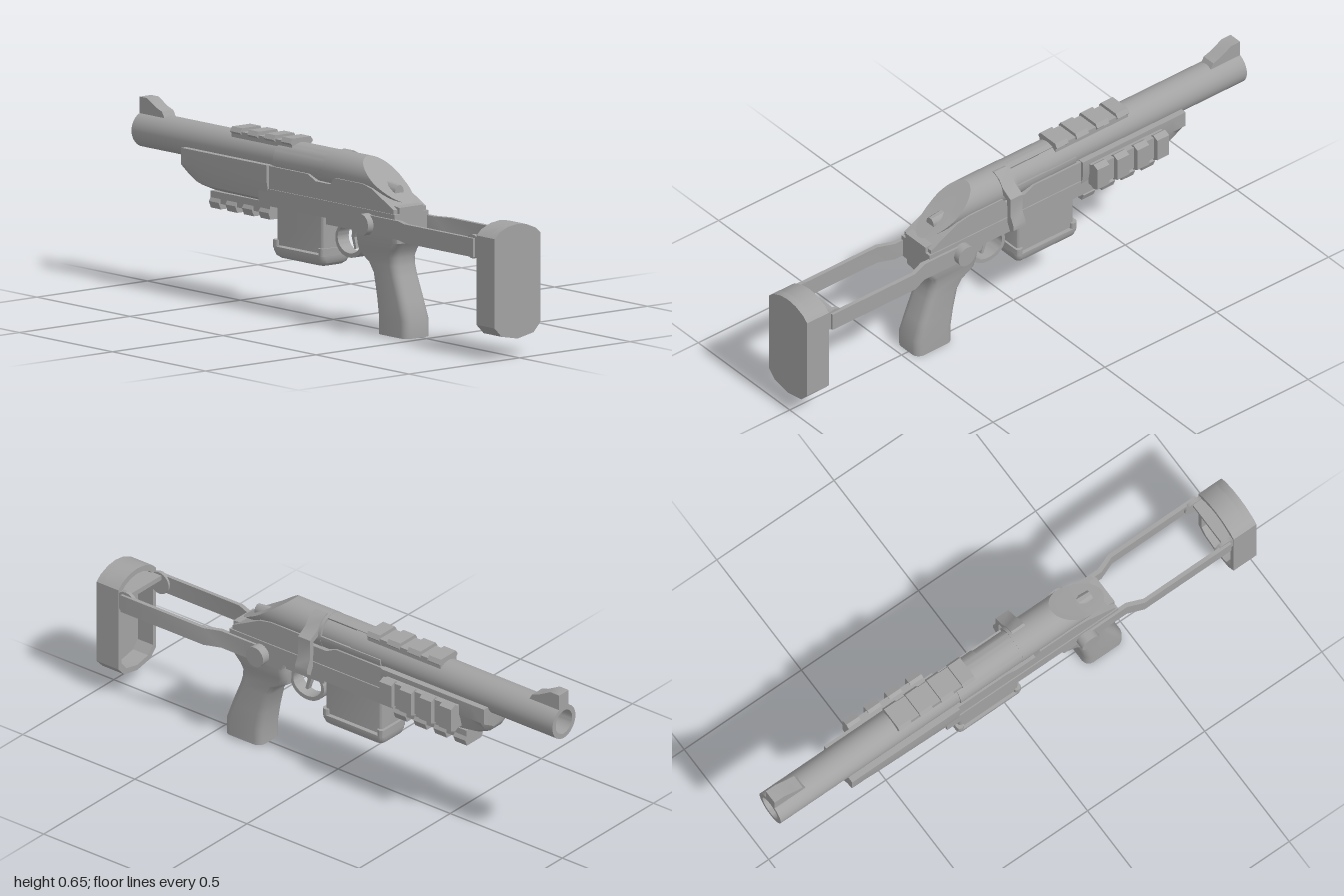
import * as THREE from 'three';
import { toCreasedNormals } from 'three/addons/utils/BufferGeometryUtils.js';

const AXIS_Y = 0.537; // barrel axis height

export function createModel() {
  const root = new THREE.Group();
  root.name = 'carbine';
  root.position.x = -0.009;
  const grey = new THREE.MeshStandardMaterial({ color: 0xa2a2a2 });
  grey.name = 'grey metal';

  const add = (name, geo, parent = root) => {
    const m = new THREE.Mesh(toCreasedNormals(geo, 0.6), grey);
    m.name = name;
    parent.add(m);
    return m;
  };
  const shapeOf = (pts) => new THREE.Shape(pts.map(([a, b]) => new THREE.Vector2(a, b)));
  const extrude = (shape, depth) =>
    new THREE.ExtrudeGeometry(shape, { depth, bevelEnabled: false, curveSegments: 20 });
  // side profile given as (z, y), extruded across x
  const side = (shape, x0, x1) => extrude(shape, x1 - x0).rotateY(-Math.PI / 2).translate(x1, 0, 0);
  const box = (x0, x1, y0, y1, z0, z1) =>
    new THREE.BoxGeometry(x1 - x0, y1 - y0, z1 - z0).translate((x0 + x1) / 2, (y0 + y1) / 2, (z0 + z1) / 2);
  // skin over closed rings, with flat end caps
  const loft = (rings) => {
    const n = rings[0].length, pos = rings.flat(2), idx = [];
    for (let i = 0; i < rings.length - 1; i++)
      for (let j = 0; j < n; j++) {
        const a = i * n + j, b = i * n + (j + 1) % n;
        idx.push(a, b, b + n, a, b + n, a + n);
      }
    const top = (rings.length - 1) * n;
    for (let j = 1; j < n - 1; j++) idx.push(0, j + 1, j, top, top + j, top + j + 1);
    const g = new THREE.BufferGeometry();
    g.setAttribute('position', new THREE.Float32BufferAttribute(pos, 3));
    g.setIndex(idx);
    return g;
  };
  // horizontal rounded rectangle at height y
  const roundRing = (y, z0, z1, hw, r) => {
    const ring = [], corners = [[z1 - r, hw - r], [z0 + r, hw - r], [z0 + r, r - hw], [z1 - r, r - hw]];
    corners.forEach(([z, x], c) => {
      for (let k = 0; k <= 4; k++) {
        const t = (c + k / 4) * Math.PI / 2;
        ring.push([x + r * Math.sin(t), y, z + r * Math.cos(t)]);
      }
    });
    return ring;
  };

  // Barrel with open bore
  const barrel = [[0, -0.6], [0.045, -0.6], [0.045, -1], [0.063, -1], [0.063, -0.1]];
  add('barrel', new THREE.LatheGeometry(barrel.map(([r, y]) => new THREE.Vector2(r, y)), 36)
    .rotateX(Math.PI / 2).translate(0, AXIS_Y, 0));
  add('frontSight', side(shapeOf([[-0.865, 0.59], [-0.88, 0.615], [-0.91, 0.625], [-0.96, 0.652],
    [-1, 0.652], [-1, 0.585]]), -0.026, 0.026));

  // Rear receiver tube, its end sloping down to the back
  const slope = (y) => (y > 0.525 ? 0.2 + (0.604 - y) * 1.39 : 0.31 + (0.525 - y) * 1.8);
  const rear = new THREE.CylinderGeometry(0.069, 0.069, 1, 40, 1).rotateX(Math.PI / 2).translate(0, 0.535, 0);
  const p = rear.attributes.position;
  for (let i = 0; i < p.count; i++) p.setZ(i, p.getZ(i) > 0 ? slope(p.getY(i)) : 0.03);
  add('receiverTube', rear);

  // Front shell with the ejection port cut out, and the bolt inside
  const shell = new THREE.Shape();
  shell.absarc(0, 0, 0.068, 1.15, 2 * Math.PI + 0.08, false);
  shell.absarc(0, 0, 0.05, 2 * Math.PI + 0.08, 1.15, true);
  add('portShell', extrude(shell, 0.265).translate(0, 0.535, -0.235));
  add('bolt', new THREE.CylinderGeometry(0.06, 0.06, 0.3, 32).rotateX(Math.PI / 2).translate(0, 0.535, -0.1));

  // Cocking knob on the sloping end
  add('cockingKnob', loft([[0.3, 0.026], [0.365, 0.02]].map(([z, r]) =>
    Array.from({ length: 10 }, (_, k) => {
      const t = k * Math.PI / 5;
      return [r * Math.cos(t), 0.5 + 1.15 * r * Math.sin(t), z];
    }))));

  // Receiver body
  add('upperReceiver', side(shapeOf([[0.42, 0.42], [0.42, 0.45], [0.3, 0.51], [0.25, 0.52], [0.1, 0.52],
    [0.08, 0.495], [0, 0.495], [-0.04, 0.515], [-0.3, 0.515], [-0.3, 0.42]]), -0.073, 0.073));
  add('lowerReceiver', side(shapeOf([[0.43, 0.35], [0.43, 0.435], [-0.3, 0.435], [-0.3, 0.375],
    [0.19, 0.375], [0.2, 0.35]]), -0.077, 0.077));
  add('tangPlate', side(shapeOf([[0.43, 0.435], [0.43, 0.457], [0.3, 0.47], [0.3, 0.435]]), -0.055, 0.055));

  // Handguard, its nose rising to the front
  add('handguard', loft([[-0.71, 0.43, 0.04], [-0.695, 0.408, 0.045], [-0.65, 0.39, 0.05],
    [-0.58, 0.383, 0.055], [-0.25, 0.38, 0.06]].map(([z, b, w]) => {
    const half = [[w * 0.7, b], [w + 0.012, b + 0.015], [0.083, 0.46], [0.083, 0.518], [0.068, 0.518]];
    return [...half.map(([x, y]) => [x, y, z]), ...half.reverse().map(([x, y]) => [-x, y, z])];
  })));

  // Accessory rails: a base slab with four chamfered teeth
  const rail = (name, w, h, z0, z1) => {
    const g = new THREE.Group();
    g.name = name;
    root.add(g);
    add('railBase', box(-w * 0.42, w * 0.42, -0.02, h * 0.5, z0, z1), g);
    const tooth = shapeOf([[-w * 0.4, 0], [w * 0.4, 0], [w / 2, h * 0.4], [w * 0.4, h], [-w * 0.4, h], [-w / 2, h * 0.4]]);
    const pitch = (z1 - z0 - 0.053) / 3;
    for (let i = 0; i < 4; i++) add('railTooth', extrude(tooth, 0.053).translate(0, 0, z0 + i * pitch), g);
    return g;
  };
  rail('topRail', 0.103, 0.026, -0.485, -0.16).position.y = 0.593;
  const sideRail = rail('sideRail', 0.105, 0.038, -0.6, -0.28);
  sideRail.position.set(0.089, 0.455, 0);
  sideRail.rotation.z = -Math.PI / 2;
  const lowRail = rail('lowerRail', 0.1, 0.04, -0.6, -0.28);
  lowRail.position.y = 0.358;
  lowRail.rotation.z = Math.PI;
  add('lowerRailMount', box(-0.025, 0.025, 0.35, 0.39, -0.56, -0.28));

  // Bolt handle wrapping over the right of the tube and down
  add('boltHandle', extrude(shapeOf([[0, 0.6], [0.02, 0.606], [0.05, 0.59], [0.07, 0.562], [0.111, 0.537], [0.111, 0.465],
    [0.127, 0.432], [0.127, 0.412], [0.109, 0.4], [0.095, 0.43], [0.092, 0.525], [0.06, 0.54], [0, 0.55]]), 0.054)
    .translate(0, 0, 0.042));

  // Grip
  add('grip', loft([[0, 0.308, 0.47, 0.059], [0.06, 0.308, 0.47, 0.059], [0.13, 0.295, 0.445, 0.057],
    [0.21, 0.275, 0.413, 0.055], [0.245, 0.25, 0.402, 0.055], [0.275, 0.2, 0.4, 0.055], [0.3, 0.195, 0.408, 0.06],
    [0.33, 0.195, 0.43, 0.066], [0.38, 0.195, 0.43, 0.066]].map(([y, a, b, w]) => roundRing(y, a, b, w, 0.028))));

  // Trigger and guard
  const guard = new THREE.Shape().absellipse(0.125, 0.3, 0.075, 0.062, 0, Math.PI * 2);
  guard.holes.push(new THREE.Path().absellipse(0.125, 0.303, 0.062, 0.05, 0, Math.PI * 2));
  add('triggerGuard', side(guard, -0.025, 0.025));
  add('guardMount', box(-0.05, 0.05, 0.345, 0.385, 0.03, 0.2));
  add('trigger', side(shapeOf([[0.155, 0.35], [0.135, 0.31], [0.145, 0.27], [0.135, 0.268], [0.12, 0.31], [0.125, 0.35]]),
    -0.01, 0.01));

  // Magazine with a wider base
  add('magazine', loft([0.24, 0.385].map((y) => roundRing(y, -0.232, 0.02, 0.056, 0.012))));
  add('magazineBase', loft([[0.195, 0.018], [0.205, 0.006], [0.222, 0], [0.235, 0]].map(([y, d]) =>
    roundRing(y, -0.243 + d, 0.028 - d, 0.066 - d, 0.018))));
  for (const [z0, z1] of [[-0.243, -0.215], [0.0, 0.028]])
    add('magazineBaseEnd', loft([0.23, 0.258].map((y) => roundRing(y, z0, z1, 0.066, 0.012))));

  // Folding stock arms, pivots and hinges
  for (const s of [1, -1]) {
    const arm = shapeOf([[0.07, 0.27], [0.086, 0.27], [0.086, 0.46], [0.109, 0.52], [0.109, 0.89],
      [0.094, 0.89], [0.094, 0.525], [0.07, 0.465]].map(([x, z]) => [s * x, z]));
    add('stockArm', extrude(arm, 0.066).rotateX(Math.PI / 2).translate(0, 0.418, 0));
    add('stockPivot', new THREE.CylinderGeometry(0.038, 0.038, 0.04, 28).rotateZ(Math.PI / 2)
      .translate(s * 0.091, 0.385, 0.29));
    add('stockHinge', new THREE.CylinderGeometry(0.042, 0.042, 0.014, 28).rotateZ(Math.PI / 2)
      .translate(s * 0.092, 0.387, 0.875));
  }
  add('stockCrossPlate', box(-0.095, 0.095, 0.402, 0.42, 0.865, 0.975));

  // Butt pad: solid rear plate and a hollow rim facing forward
  const half = [[0.072, 0.083], [0.104, 0.116], [0.104, 0.43], [0.082, 0.45], [0.04, 0.467]];
  const outline = [[0, 0.069], ...half, [0, 0.472], ...half.map(([x, y]) => [-x, y]).reverse()];
  const rim = shapeOf(outline);
  rim.holes.push(new THREE.Path(outline.map(([x, y]) =>
    new THREE.Vector2(x * 0.82, 0.27 + (y - 0.27) * 0.9))));
  add('buttPadRim', extrude(rim, 0.07).translate(0, 0, 0.903));
  add('buttPad', extrude(shapeOf(outline), 0.03).translate(0, 0, 0.97));

  return root;
}
